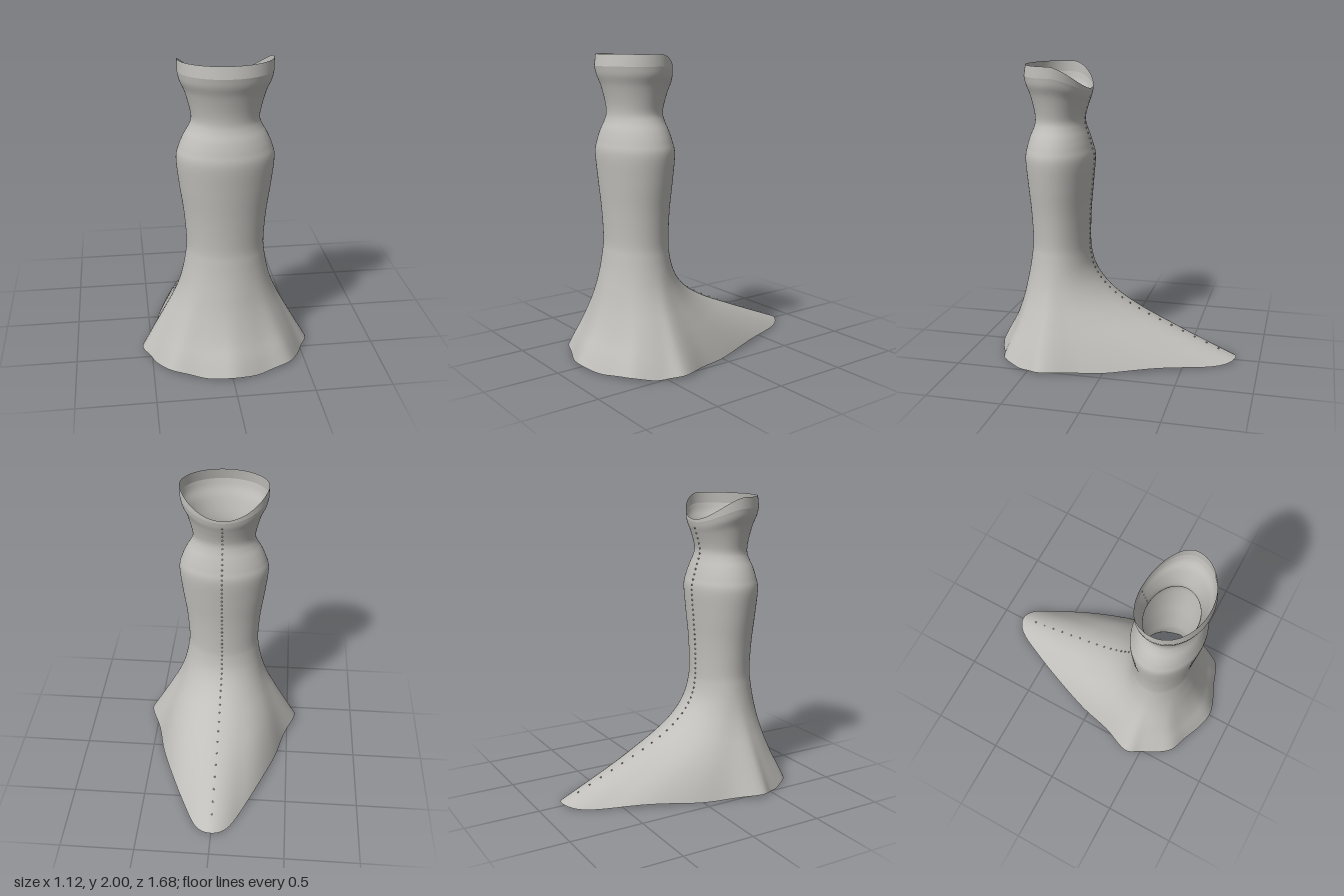
import * as THREE from 'three';

const V = (x, y, z) => new THREE.Vector3(x, y, z);
const CENTRE = 0.39, WAIST = 1.63, SEAM = 1.925;

// Height, half width, front z, back z, from hem to neckline seam
const profile = [
  [0.01, 0.56, 0.84, -0.84], [0.1, 0.51, 0.795, -0.63], [0.2, 0.455, 0.74, -0.4],
  [0.3, 0.4, 0.698, -0.18], [0.4, 0.347, 0.665, -0.01], [0.5, 0.305, 0.64, 0.1],
  [0.6, 0.277, 0.618, 0.165], [0.7, 0.259, 0.602, 0.193], [0.8, 0.251, 0.592, 0.2],
  [1.0, 0.265, 0.6, 0.195], [1.2, 0.293, 0.617, 0.178], [1.37, 0.31, 0.63, 0.165],
  [1.45, 0.292, 0.617, 0.18], [1.52, 0.262, 0.597, 0.2], [1.58, 0.228, 0.572, 0.22],
  [1.63, 0.213, 0.562, 0.229], [1.7, 0.224, 0.568, 0.222], [1.8, 0.252, 0.592, 0.202],
  [1.87, 0.283, 0.618, 0.186], [SEAM, 0.295, 0.63, 0.178],
];
const sideCurve = new THREE.CatmullRomCurve3(profile.map(p => V(p[1], p[0], p[2])), false, 'catmullrom');
const backCurve = new THREE.CatmullRomCurve3(profile.map(p => V(p[3], p[0], 0)), false, 'catmullrom');

// Fluted hem outline (x, z), front to tail at every 15 degrees, then mirrored
const half = [
  [0, 0.84], [0.125, 0.81], [0.25, 0.757], [0.385, 0.705], [0.46, 0.605], [0.51, 0.5], [0.56, 0.39],
  [0.478, 0.18], [0.417, -0.06], [0.315, -0.34], [0.205, -0.59], [0.105, -0.78], [0, -0.84],
];
const hemPoints = [...half, ...half.slice(1, -1).reverse().map(([x, z]) => [-x, z])];
const hemCurve = new THREE.CatmullRomCurve3(hemPoints.map(([x, z]) => V(x, 0, z)), true, 'catmullrom');

// Neckline and its seam dip towards the back
const dip = t => Math.pow(Math.max(0, -Math.cos(t)), 1.8);
const seamY = t => SEAM - 0.1 * dip(t);
const neckY = t => 2 - 0.155 * dip(t);

// Point on the gown: u runs up from the hem, t runs round from the front
function surface(u, t) {
  const s = sideCurve.getPoint(u), back = backCurve.getPoint(u).x;
  const hem = hemCurve.getPoint((t / (2 * Math.PI)) % 1);
  const front = Math.cos(t) >= 0;
  const w = Math.pow(THREE.MathUtils.clamp(1 - (s.y - 0.01) / 0.65, 0, 1), 1.4);
  const nx = THREE.MathUtils.lerp(Math.sin(t), hem.x / 0.56, w);
  const nz = THREE.MathUtils.lerp(Math.cos(t), (hem.z - CENTRE) / (front ? 0.45 : 1.23), w);
  let y = s.y + 0.01 * Math.cos(8 * t) * w * w;
  if (s.y > WAIST) y = WAIST + (s.y - WAIST) * (seamY(t) - WAIST) / (SEAM - WAIST);
  return V(s.x * nx, y, CENTRE + nz * (front ? s.z - CENTRE : CENTRE - back));
}

// Closed ring surface from a point rule
function ringSurface(rows, cols, point) {
  const pos = [], idx = [];
  for (let i = 0; i <= rows; i++)
    for (let j = 0; j < cols; j++) pos.push(...point(i / rows, j / cols * 2 * Math.PI).toArray());
  for (let i = 0; i < rows; i++)
    for (let j = 0; j < cols; j++) {
      const k = (j + 1) % cols, a = i * cols + j, b = i * cols + k;
      idx.push(a, b, b + cols, a, b + cols, a + cols);
    }
  const g = new THREE.BufferGeometry();
  g.setAttribute('position', new THREE.Float32BufferAttribute(pos, 3));
  g.setIndex(idx);
  g.computeVertexNormals();
  return g;
}

export function createModel() {
  const group = new THREE.Group();
  group.name = 'gown';
  const fabric = new THREE.MeshStandardMaterial({ color: 0xc0bfbb, side: THREE.DoubleSide });
  fabric.name = 'grey fabric';
  const add = (name, geometry, parent = group) => {
    const m = new THREE.Mesh(geometry, fabric);
    m.name = name;
    parent.add(m);
    return m;
  };

  // Bodice, skirt and train in one smooth surface
  add('gownBody', ringSurface(114, 120, surface));

  // Neckline band, leaning slightly inwards
  add('necklineBand', ringSurface(4, 120, (v, t) => {
    const p = surface(1, t);
    p.y = THREE.MathUtils.lerp(seamY(t), neckY(t), v);
    p.z -= 0.014 * v * Math.max(0, Math.cos(t));
    return p;
  }));

  // Row of small buttons down the back
  const buttons = new THREE.Group();
  buttons.name = 'backButtons';
  group.add(buttons);
  const bead = new THREE.SphereGeometry(0.006, 10, 8);
  for (let i = 0; i < 50; i++) {
    const y = 1.785 - i * 0.035;
    let lo = 0, hi = 1;
    for (let k = 0; k < 24; k++) {
      const mid = (lo + hi) / 2;
      if (surface(mid, Math.PI).y < y) lo = mid; else hi = mid;
    }
    const p = surface(lo, Math.PI), q = surface(Math.min(1, lo + 0.004), Math.PI);
    const out = V(0, q.z - p.z, p.y - q.y).normalize();
    add('button', bead, buttons).position.copy(p).addScaledVector(out, 0.003);
  }
  return group;
}
